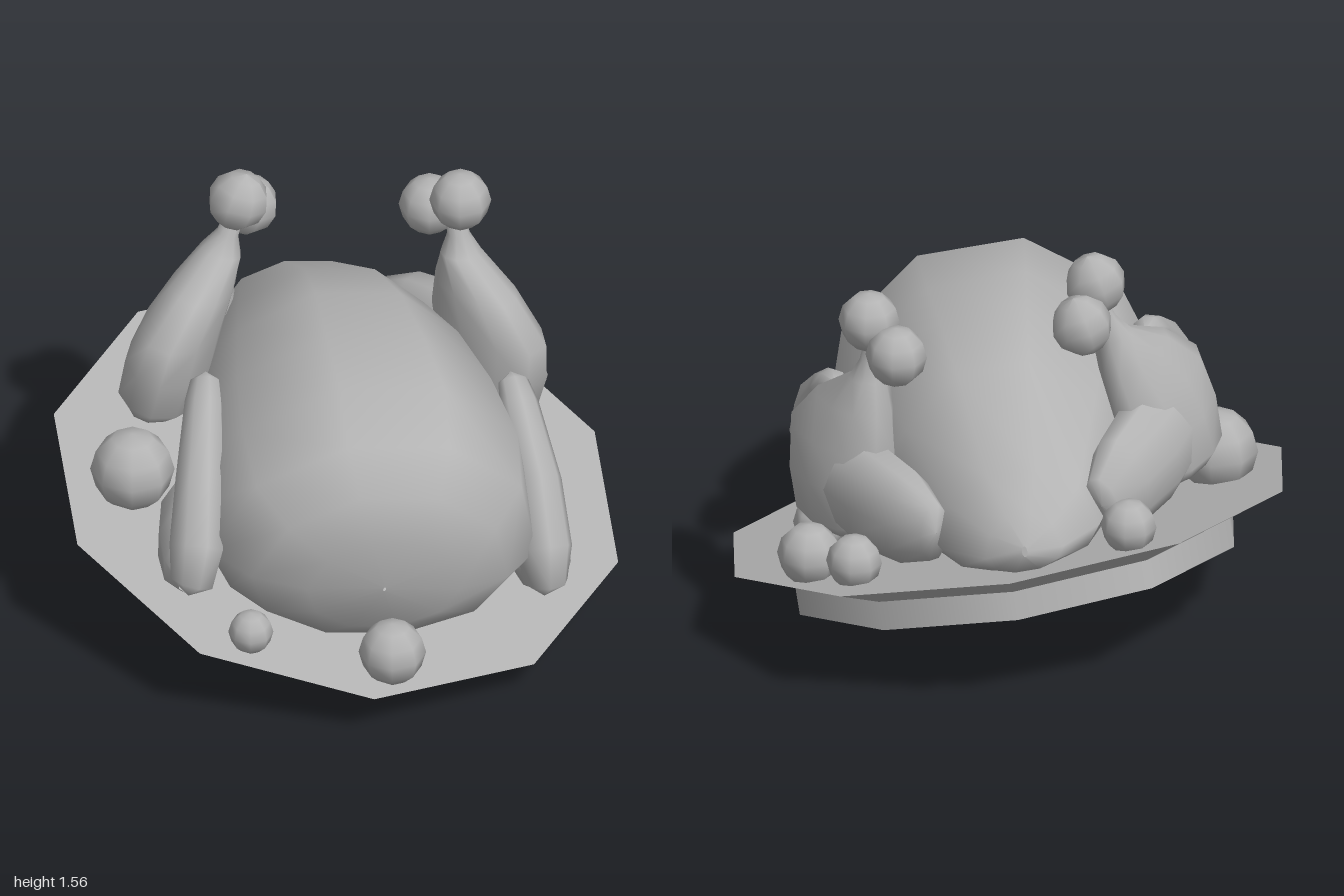
import * as THREE from 'three';

const V = (x, y, z) => new THREE.Vector3(x, y, z);

// Smooth skin over oval rings [x, y, z, halfThickness, halfWidth, halfWidthBelow].
// thin: direction of the thickness; axis: fixed ring normal (else follows the path).
function loft(rings, thin, sides, axis = null) {
  const pos = [], index = [];
  const centre = (i) => V(...rings[THREE.MathUtils.clamp(i, 0, rings.length - 1)]);
  rings.forEach(([, , , a, b, below = b], i) => {
    const t = axis ? axis.clone() : centre(i + 1).sub(centre(i - 1)).normalize();
    const v = t.cross(thin).normalize();
    for (let j = 0; j < sides; j++) {
      const ang = (j / sides) * Math.PI * 2, s = Math.sin(ang);
      const p = centre(i)
        .addScaledVector(thin, a * Math.cos(ang))
        .addScaledVector(v, (s > 0 ? b : below) * s);
      pos.push(p.x, p.y, p.z);
      if (i < rings.length - 1) {
        const k = (j + 1) % sides, r = i * sides, n = r + sides;
        index.push(r + j, r + k, n + j, r + k, n + k, n + j);
      }
    }
  });
  const g = new THREE.BufferGeometry();
  g.setAttribute('position', new THREE.Float32BufferAttribute(pos, 3));
  g.setIndex(index);
  g.computeVertexNormals();
  return g;
}

// Reflected copy with the winding turned round
function reflect(geometry, matrix) {
  const g = geometry.clone().applyMatrix4(matrix);
  const idx = g.index.array;
  for (let i = 0; i < idx.length; i += 3) [idx[i], idx[i + 1]] = [idx[i + 1], idx[i]];
  g.computeVertexNormals();
  return g;
}

export function createModel() {
  const model = new THREE.Group();
  model.name = 'roastBirdOnPlate';
  const grey = new THREE.MeshStandardMaterial({ color: 0xb3b3b3 });
  grey.name = 'plainGrey';
  const add = (parent, name, geometry) => {
    const mesh = new THREE.Mesh(geometry, grey);
    mesh.name = name;
    parent.add(mesh);
  };

  // Tilted ten-sided plate with a raised foot
  const tray = new THREE.Group();
  tray.name = 'tiltedPlate';
  tray.position.y = 0.392;
  tray.rotation.x = 0.262;
  model.add(tray);
  add(tray, 'plateRim', new THREE.CylinderGeometry(1.035, 0.82, 0.085, 10).translate(0, -0.0425, 0));
  add(tray, 'plateFoot', new THREE.CylinderGeometry(0.82, 0.82, 0.105, 10).translate(0, -0.1375, 0));

  // Body, turned on the plate: blunt breast in front, short narrow tail behind
  const bird = new THREE.Group();
  bird.name = 'bird';
  bird.rotation.y = -0.585;
  bird.position.set(-0.021, 0, -0.014);
  tray.add(bird);
  // [z, half width, bottom, widest height, top]
  const body = [
    [-0.93, 0.01, 0.06, 0.08, 0.1], [-0.9, 0.14, 0, 0.07, 0.21], [-0.79, 0.28, -0.02, 0.1, 0.35],
    [-0.46, 0.42, -0.03, 0.2, 0.665], [-0.22, 0.5, -0.03, 0.25, 0.8], [0.06, 0.575, -0.03, 0.28, 0.87],
    [0.36, 0.62, -0.03, 0.29, 0.92], [0.58, 0.6, -0.03, 0.29, 0.845], [0.72, 0.47, 0, 0.3, 0.72],
    [0.79, 0.28, 0.11, 0.31, 0.55], [0.8, 0.005, 0.31, 0.32, 0.33],
  ].map(([z, w, lo, mid, hi]) => [0, mid, z, w, hi - mid, mid - lo]);
  add(bird, 'body', loft(body, V(1, 0, 0), 10, V(0, 0, 1)));

  // Reflection across the bird's middle plane
  model.updateMatrixWorld(true);
  const mirror = bird.matrixWorld.clone()
    .multiply(new THREE.Matrix4().makeScale(-1, 1, 1))
    .multiply(bird.matrixWorld.clone().invert());
  const pair = (name, geometry) => {
    add(model, 'left' + name, geometry);
    add(model, 'right' + name, reflect(geometry, mirror));
  };

  // Legs: drumstick, thigh and two end knobs
  const sideways = V(1, 0, 0);
  pair('Drumstick', loft([
    [0.62, 1.27, -0.03, 0.035, 0.035], [0.62, 1.19, -0.01, 0.04, 0.04], [0.62, 1.12, 0, 0.075, 0.07],
    [0.63, 1.0, 0.07, 0.11, 0.18], [0.645, 0.85, 0.12, 0.135, 0.26], [0.65, 0.7, 0.12, 0.15, 0.25],
    [0.65, 0.55, 0.12, 0.14, 0.2], [0.65, 0.5, 0.12, 0.09, 0.15], [0.65, 0.48, 0.12, 0.001, 0.001],
  ], sideways, 10, V(0, -1, 0)));
  pair('Thigh', loft([
    [0.66, 0.7, 0.12, 0.12, 0.19], [0.67, 0.69, -0.1, 0.13, 0.2], [0.66, 0.68, -0.28, 0.11, 0.18],
    [0.65, 0.67, -0.42, 0.065, 0.11], [0.65, 0.67, -0.43, 0.001, 0.001],
  ], sideways, 10, V(0, 0, -1)));
  const ball = (r, x, y, z) => new THREE.SphereGeometry(r, 8, 6).translate(x, y, z);
  pair('UpperKnob', ball(0.11, 0.62, 1.335, 0));
  pair('LowerKnob', ball(0.11, 0.61, 1.25, -0.145));

  // Wings: folded in a V, tip pointing up and back
  const outward = V(0.84, 0, 0.54);
  pair('WingTip', loft([
    [0.455, 0.88, 0.42, 0.001, 0.001], [0.44, 0.86, 0.45, 0.055, 0.05], [0.41, 0.81, 0.51, 0.07, 0.07],
    [0.295, 0.63, 0.715, 0.09, 0.1], [0.205, 0.45, 0.845, 0.1, 0.125], [0.175, 0.34, 0.88, 0.08, 0.1],
    [0.17, 0.28, 0.88, 0.001, 0.001],
  ], outward, 8));
  pair('UpperWing', loft([
    [0.165, 0.36, 0.92, 0.05, 0.06], [0.205, 0.38, 0.84, 0.1, 0.13], [0.275, 0.4, 0.7, 0.11, 0.155],
    [0.34, 0.42, 0.54, 0.1, 0.14], [0.38, 0.42, 0.44, 0.05, 0.09], [0.385, 0.42, 0.43, 0.001, 0.001],
  ], outward, 8));

  // Potatoes around the bird: [radius, x, y, z]
  [
    [0.08, -0.8, 0.35, 0.38], [0.12, -0.46, 0.28, 0.75], [0.1, 0.56, 0.375, 0.36], [0.115, 0.865, 0.475, 0.03],
    [0.1, 0.825, 0.515, -0.18], [0.1, 0.1, 0.695, -0.835], [0.15, -0.64, 0.6, -0.38],
  ].forEach((p) => add(model, 'potato', ball(...p)));

  return model;
}
